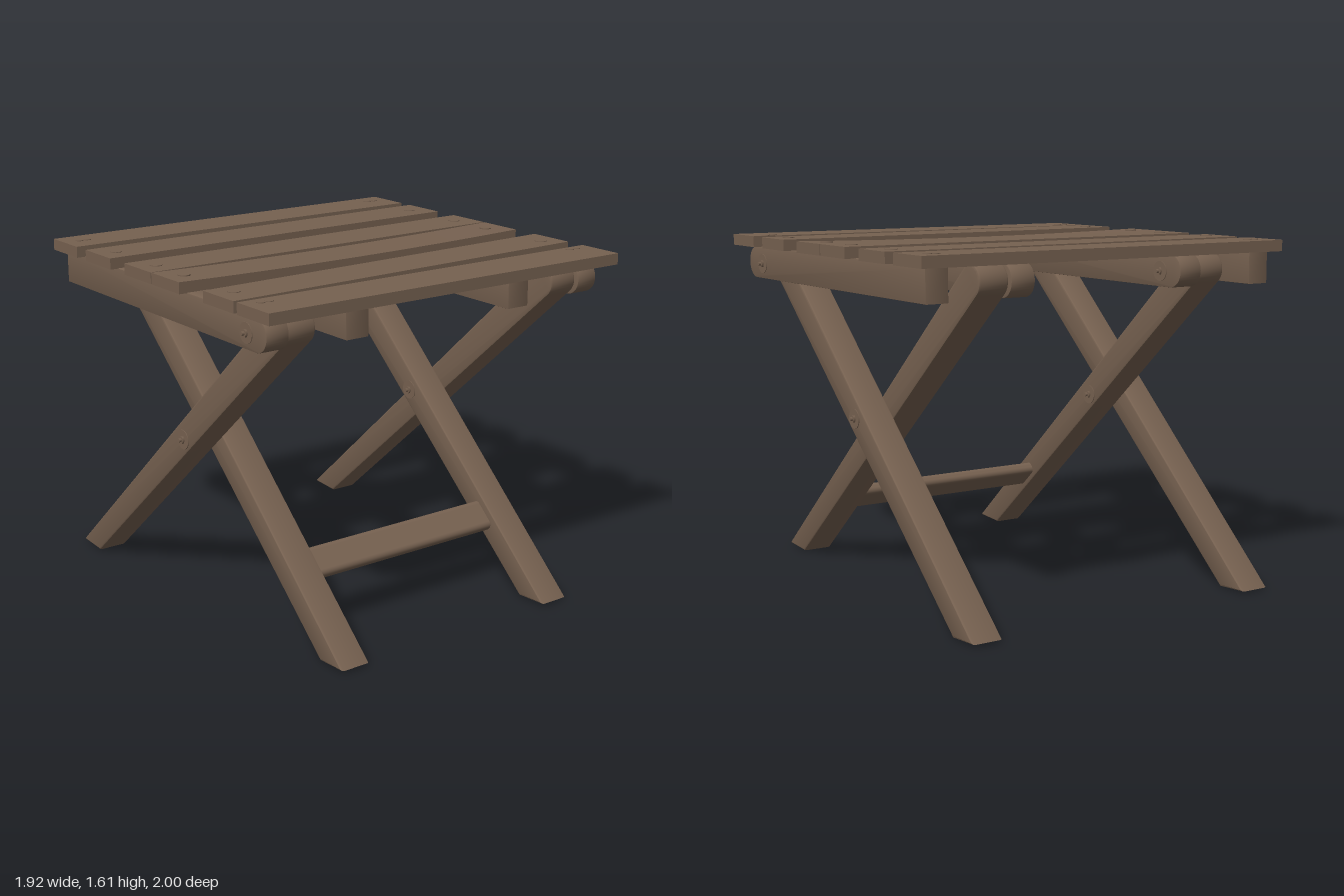
import * as THREE from 'three';
import { toCreasedNormals } from 'three/addons/utils/BufferGeometryUtils.js';
import { RoundedBoxGeometry } from 'three/addons/geometries/RoundedBoxGeometry.js';

const wood = new THREE.MeshStandardMaterial({ color: 0x766150 });

export function createModel() {
  const model = new THREE.Group();

  const add = (name, geometry, x = 0, y = 0, z = 0) => {
    const mesh = new THREE.Mesh(geometry, wood);
    mesh.name = name;
    mesh.position.set(x, y, z);
    model.add(mesh);
    return mesh;
  };

  // Side profile (z, y) extruded across x; dir -1 flips it front to back
  const plank = (shape, width, dir, bevel) => {
    const g = new THREE.ExtrudeGeometry(shape, {
      depth: width - 2 * bevel, curveSegments: 10, bevelSize: bevel,
      bevelThickness: bevel, bevelOffset: -bevel, bevelSegments: 2,
    });
    g.translate(0, 0, -width / 2 + bevel);
    g.rotateY(dir * -Math.PI / 2);
    return toCreasedNormals(g, 0.6);
  };

  // Tapered leg: slanted foot at one end, round pivot end at the other
  const legShape = new THREE.Shape();
  legShape.moveTo(-1, 0.01);
  legShape.lineTo(-0.84, 0);
  legShape.absarc(0.745, 1.485, 0.075, -0.846, 2.295, false);
  legShape.closePath();

  // Seat rail: square at one end, round at the other
  const railShape = new THREE.Shape();
  railShape.moveTo(-0.825, 1.56);
  railShape.lineTo(-0.825, 1.41);
  railShape.absarc(0.765, 1.485, 0.075, -Math.PI / 2, Math.PI / 2, false);
  railShape.closePath();

  const disc = (r, h, sides = 20) => new THREE.CylinderGeometry(r, r, h, sides);

  // Washer, nut and pin pointing sideways
  const bolt = (name, x, y, z, dir) => {
    const group = new THREE.Group();
    group.name = name;
    [[0.046, 0.004, 20], [0.018, 0.014, 6], [0.009, 0.026, 10]].forEach(([r, h, n]) => {
      const mesh = new THREE.Mesh(disc(r, h, n), wood);
      mesh.position.y = h / 2;
      group.add(mesh);
    });
    group.rotation.z = -dir * Math.PI / 2;
    group.position.set(x, y, z);
    model.add(group);
  };

  for (const s of [1, -1]) {
    const side = s > 0 ? 'left' : 'right';
    add(`${side}OuterLeg`, plank(legShape, 0.147, 1, 0.01), s * 0.735);
    add(`${side}InnerLeg`, plank(legShape, 0.147, -1, 0.01), s * 0.585);
    add(`${side}OuterRail`, plank(railShape, 0.11, 1, 0.003), s * 0.865);
    add(`${side}InnerRail`, plank(railShape, 0.118, -1, 0.003), s * 0.452);
    bolt(`${side}OuterPivotBolt`, s * 0.919, 1.48, 0.695, s);
    bolt(`${side}InnerPivotBolt`, s * 0.394, 1.48, -0.695, -s);
    bolt(`${side}OuterCrossBolt`, s * 0.808, 0.815, 0, s);
    bolt(`${side}InnerCrossBolt`, s * 0.512, 0.815, 0, -s);
  }

  // Rounded stretcher between the inner legs, tilted along them
  const stretcher = add('stretcher', new RoundedBoxGeometry(1.08, 0.15, 0.06, 4, 0.025), 0, 0.318, 0.56);
  stretcher.rotation.x = -0.846;

  // Seat slats: centre z at the right and left ends, number of screws per end, sag
  const slats = [
    [-0.768, -0.748, 2, 0], [-0.455, -0.451, 1, 0], [-0.1, -0.097, 1, 0],
    [0.133, 0.139, 1, 0.012], [0.55, 0.5, 1, 0], [0.802, 0.823, 2, 0],
  ];
  slats.forEach(([zRight, zLeft, screws, sag], i) => {
    const g = new THREE.BoxGeometry(1.918, 0.052, 0.228, 8, 1, 1);
    const p = g.attributes.position;
    for (let k = 0; k < p.count; k++) {
      const t = p.getX(k) / 0.959;
      p.setY(k, p.getY(k) - sag * (1 - t * t));
      p.setZ(k, p.getZ(k) + zRight + (zLeft - zRight) * (t + 1) / 2);
    }
    g.computeVertexNormals();
    add(`seatSlat${i + 1}`, g, 0, 1.585, 0);

    // Screw heads
    for (const s of [1, -1]) {
      const z = screws === 2 ? (i ? 0.745 : -0.775) : (zRight + zLeft) / 2;
      const xs = screws === 2 ? [0.84, 0.88] : [0.865];
      xs.forEach((x) => add('slatScrew', disc(screws === 2 ? 0.019 : 0.028, 0.008), s * x, 1.61, z));
    }
  });

  return model;
}
